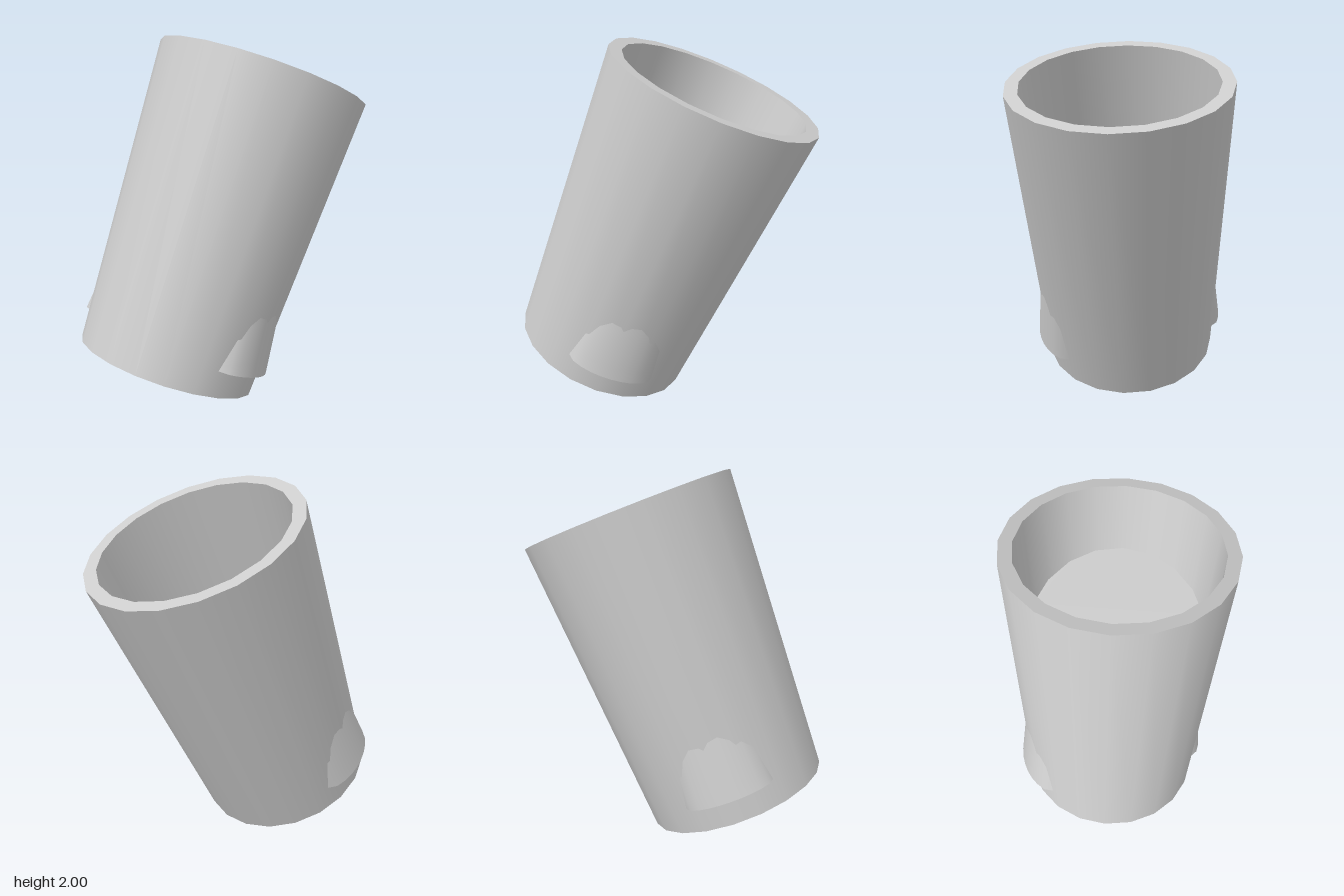
import * as THREE from 'three';

const SIDES = 20, HEIGHT = 1.705, TILT = -0.403;
const BASE = new THREE.Vector3(0, 0.197, 0.38);
const outerR = h => 0.5 + 0.0569 * h;
const innerR = h => outerR(h) - 0.072;

const grey = () => new THREE.MeshStandardMaterial({ color: 0xcccccc, side: THREE.DoubleSide });
function part(name, geometry) {
  const mesh = new THREE.Mesh(geometry, grey());
  mesh.name = name;
  return mesh;
}

// Grid surface from a rule f(u, v) -> [x, y, z]
function grid(nu, nv, f) {
  const pos = [], idx = [], row = nu + 1;
  for (let j = 0; j <= nv; j++)
    for (let i = 0; i <= nu; i++) pos.push(...f(i / nu, j / nv));
  for (let j = 0; j < nv; j++)
    for (let i = 0; i < nu; i++) {
      const a = j * row + i;
      idx.push(a, a + 1, a + row, a + 1, a + row + 1, a + row);
    }
  const g = new THREE.BufferGeometry();
  g.setAttribute('position', new THREE.Float32BufferAttribute(pos, 3));
  g.setIndex(idx);
  g.computeVertexNormals();
  return g;
}

// Raised lip that fades into the wall upward and ends in a ledge below
function createLip() {
  const lip = new THREE.Group();
  const ledge = 0.143, mid = Math.PI / 2 + 0.38, half = 0.52;
  const bulge = u => Math.sqrt(Math.max(0, 1 - Math.abs(2 * u - 1) ** 2.4));
  const at = (u, r, h) => {
    const a = mid + (2 * u - 1) * half;
    return [r * Math.sin(a), h, r * Math.cos(a)];
  };
  const rise = (u, v) => outerR(ledge + 0.37 * bulge(u) * v) - 0.012 + 0.062 * bulge(u) * (1 - v);
  lip.add(part('lipFace', grid(10, 5, (u, v) => at(u, rise(u, v), ledge + 0.37 * bulge(u) * v))));
  lip.add(part('lipLedge', grid(10, 1, (u, v) => at(u, v ? rise(u, 0) : 0.48, ledge))));
  return lip;
}

// Level liquid surface, cut by the tilted inner wall
function createLiquid(level) {
  const s = Math.sin(-TILT), c = Math.cos(TILT), points = [];
  for (let i = 0; i < SIDES; i++) {
    const a = (i / SIDES) * Math.PI * 2, k = s * Math.cos(a);
    const h = (level - BASE.y - k * innerR(0)) / (c + k * 0.0569);
    const r = innerR(h);
    points.push(new THREE.Vector2(r * Math.sin(a), -(BASE.z - s * h + c * r * Math.cos(a))));
  }
  const g = new THREE.ShapeGeometry(new THREE.Shape(points));
  g.rotateX(-Math.PI / 2);
  g.translate(0, level, 0);
  return part('liquidSurface', g);
}

export function createModel() {
  const model = new THREE.Group();
  model.name = 'tiltedCup';

  const cup = new THREE.Group();
  cup.name = 'cup';
  cup.position.copy(BASE);
  cup.rotation.x = TILT;
  model.add(cup);

  // Each section is lathed on its own so the rim and base stay sharp
  const profile = [
    [0, 0], [outerR(0), 0], [outerR(HEIGHT), HEIGHT],
    [innerR(HEIGHT), HEIGHT], [innerR(0.1), 0.1], [0, 0.1],
  ].map(p => new THREE.Vector2(...p));
  ['base', 'outerWall', 'rim', 'innerWall', 'innerFloor'].forEach((name, i) =>
    cup.add(part(name, new THREE.LatheGeometry([profile[i], profile[i + 1]], SIDES))));

  // Two lips, half a turn apart
  ['leftLip', 'rightLip'].forEach((name, i) => {
    const lip = createLip();
    lip.name = name;
    lip.rotation.y = i * Math.PI;
    cup.add(lip);
  });

  model.add(createLiquid(1.2));
  return model;
}
